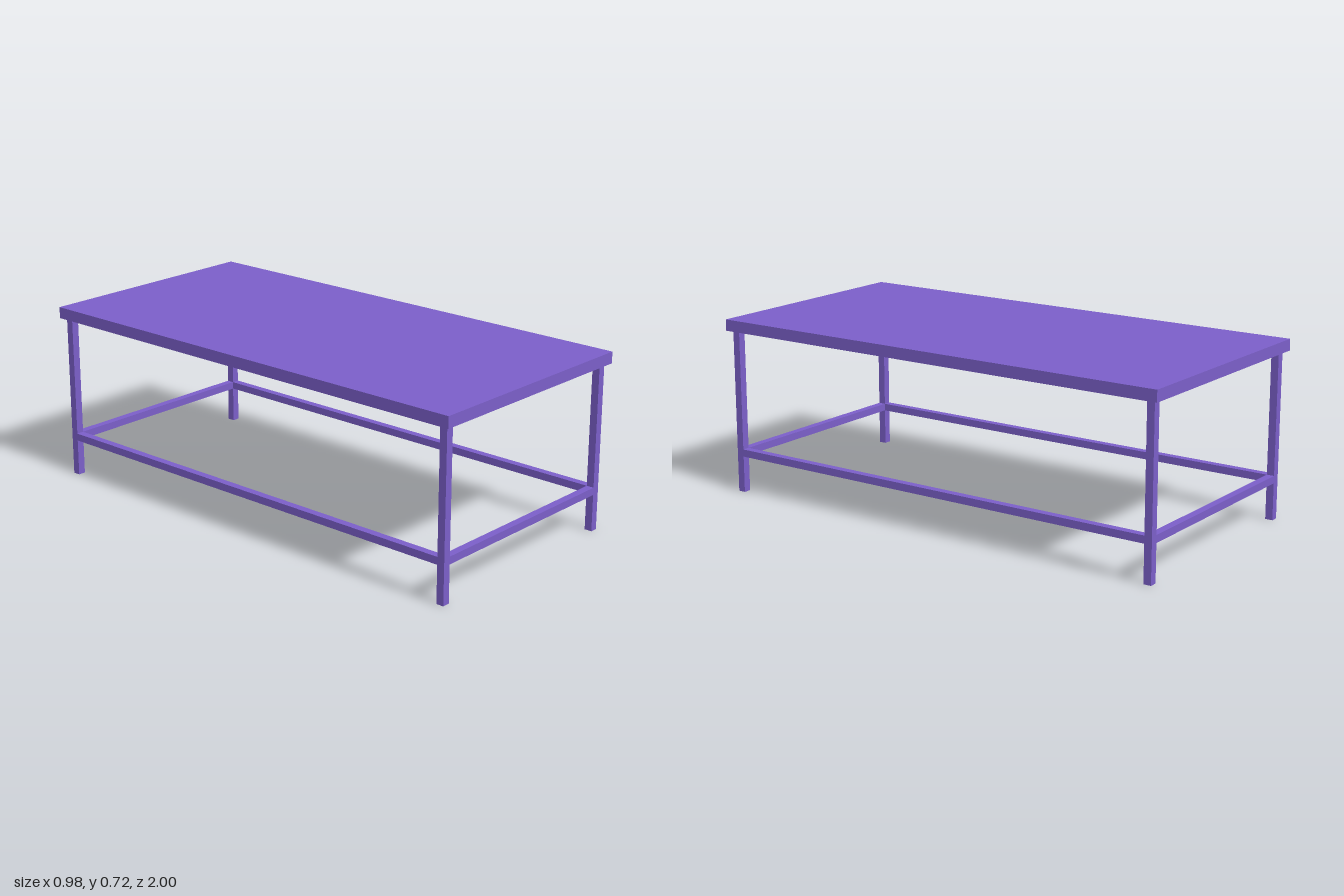
import * as THREE from 'three';

const W = 0.984, L = 2, H = 0.716;       // overall size
const BAR = 0.031, INSET = 0.02;         // square bar and its distance from the top's edge
const APRON_Y = 0.67, SLAB_Y = 0.7;      // underside of the apron and of the slab
const RAIL_Y = 0.165;                    // centre height of the lower rails

export function createModel() {
  const table = new THREE.Group();
  table.name = 'table';
  const material = new THREE.MeshStandardMaterial({ color: 0x7b5fc9 });

  function box(name, w, h, d, x, y, z) {
    const mesh = new THREE.Mesh(new THREE.BoxGeometry(w, h, d), material);
    mesh.name = name;
    mesh.position.set(x, y, z);
    table.add(mesh);
  }

  const legX = W / 2 - INSET - BAR / 2;
  const legZ = L / 2 - INSET - BAR / 2;

  // Table top
  box('tableTop', W, H - SLAB_Y, L, 0, (H + SLAB_Y) / 2, 0);

  // Apron under the top, flush with the inner faces of the legs
  const rim = INSET + BAR;
  const apronH = SLAB_Y - APRON_Y, apronY = (SLAB_Y + APRON_Y) / 2;
  for (const s of [-1, 1]) {
    const side = s > 0 ? 'left' : 'right', end = s > 0 ? 'front' : 'back';
    box(side + 'Apron', rim, apronH, L, s * (W - rim) / 2, apronY, 0);
    box(end + 'Apron', W - 2 * rim, apronH, rim, 0, apronY, s * (L - rim) / 2);

    // Lower rails between the legs
    box(side + 'Rail', BAR, 0.03, 2 * legZ - BAR, s * legX, RAIL_Y, 0);
    box(end + 'Rail', 2 * legX - BAR, 0.03, BAR, 0, RAIL_Y, s * legZ);

    // Legs
    for (const t of [-1, 1]) {
      box(end + (t > 0 ? 'Left' : 'Right') + 'Leg', BAR, APRON_Y, BAR, t * legX, APRON_Y / 2, s * legZ);
    }
  }
  return table;
}
